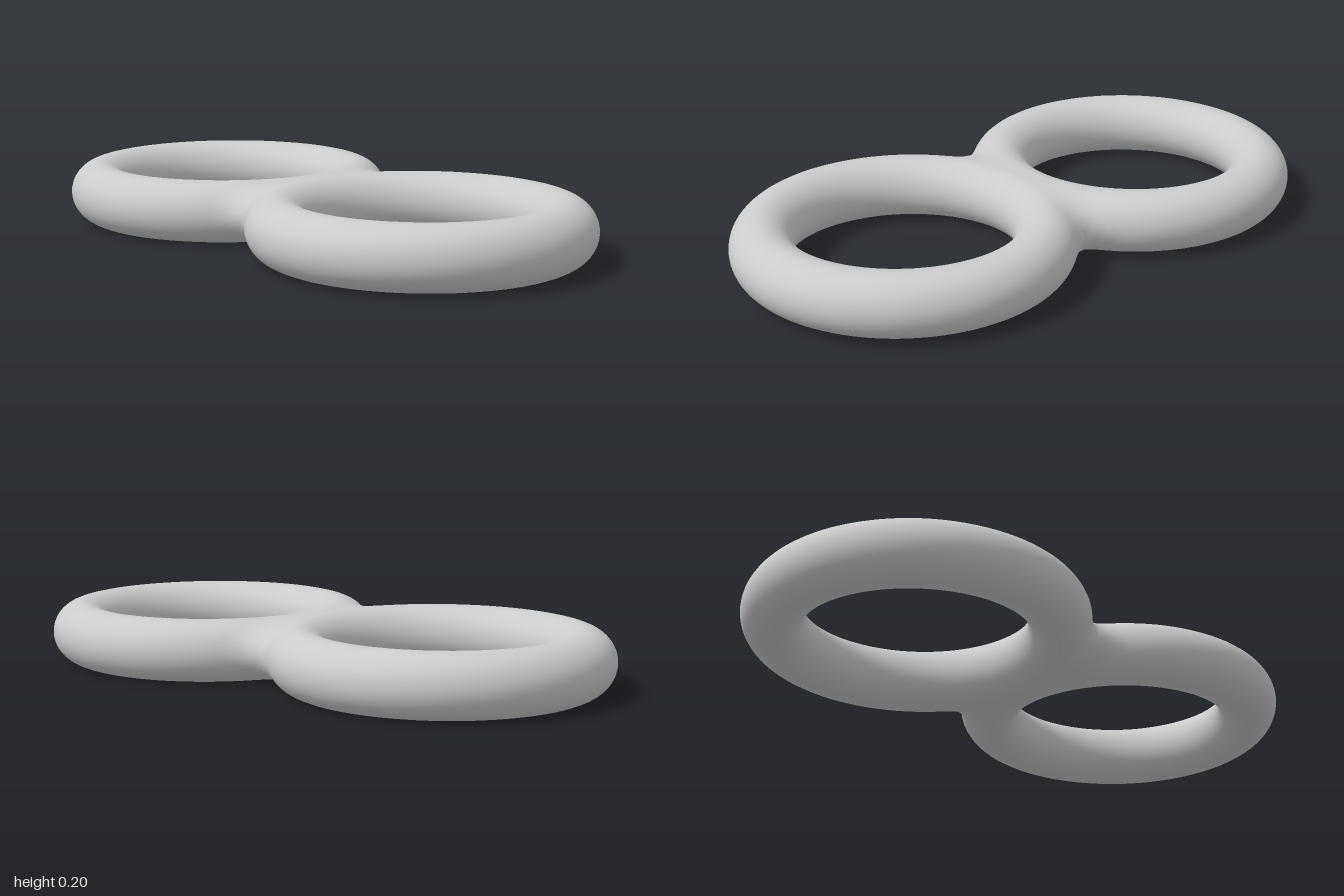
import * as THREE from 'three';

const RING = 0.437;   // radius of the ring's centre line
const TUBE = 0.099;   // radius of the round stock
const OFFSET = 0.463; // ring centre from the middle
const BLEND = 0.15;   // softness of the waist fillet
const OVERLAP = 0.02; // how far each half runs into the other

// Distance to a figure-eight of round stock whose outer waist is filleted
function distance(p) {
  const a = Math.hypot(p.x, p.z - OFFSET) - RING;
  const b = Math.hypot(p.x, p.z + OFFSET) - RING;
  let q;
  if (a < 0) q = -a;
  else if (b < 0) q = -b;
  else {
    const h = Math.max(BLEND - Math.abs(a - b), 0) / BLEND;
    q = Math.max(0, Math.min(a, b) - h * h * BLEND / 4);
  }
  return Math.hypot(q, p.y) - TUBE;
}

function surfaceNormal(p) {
  const e = 0.002;
  const slope = (axis) => {
    const hi = p.clone(), lo = p.clone();
    hi[axis] += e;
    lo[axis] -= e;
    return distance(hi) - distance(lo);
  };
  return new THREE.Vector3(slope('x'), slope('y'), slope('z')).normalize();
}

// A torus whose vertices are pushed out from the centre line to the blended surface
function ringGeometry() {
  const geo = new THREE.TorusGeometry(RING, TUBE, 40, 96);
  geo.rotateX(Math.PI / 2);
  geo.translate(0, 0, OFFSET);
  const pos = geo.attributes.position, nor = geo.attributes.normal;
  const p = new THREE.Vector3(), core = new THREE.Vector3(), dir = new THREE.Vector3();
  for (let i = 0; i < pos.count; i++) {
    p.fromBufferAttribute(pos, i);
    core.set(p.x, 0, p.z - OFFSET).setLength(RING);
    core.z += OFFSET;
    dir.subVectors(p, core).normalize();
    // stop just past the middle, inside the other half
    const limit = dir.z < -1e-6 ? (core.z + OVERLAP) / -dir.z : Infinity;
    let t = 0;
    for (let k = 0; k < 60 && t < limit; k++) {
      t -= distance(p.copy(core).addScaledVector(dir, t));
    }
    p.copy(core).addScaledVector(dir, Math.min(t, limit));
    const n = surfaceNormal(p);
    pos.setXYZ(i, p.x, p.y, p.z);
    nor.setXYZ(i, n.x, n.y, n.z);
  }
  return geo;
}

export function createModel() {
  const model = new THREE.Group();
  model.name = 'figureEight';
  const material = new THREE.MeshStandardMaterial({ color: 0xcccccc });
  const geometry = ringGeometry();

  // front ring and its half-turn copy at the back
  ['frontRing', 'backRing'].forEach((name, i) => {
    const ring = new THREE.Mesh(geometry, material);
    ring.name = name;
    ring.rotation.y = i * Math.PI;
    ring.position.y = 0.115;
    model.add(ring);
  });
  return model;
}
